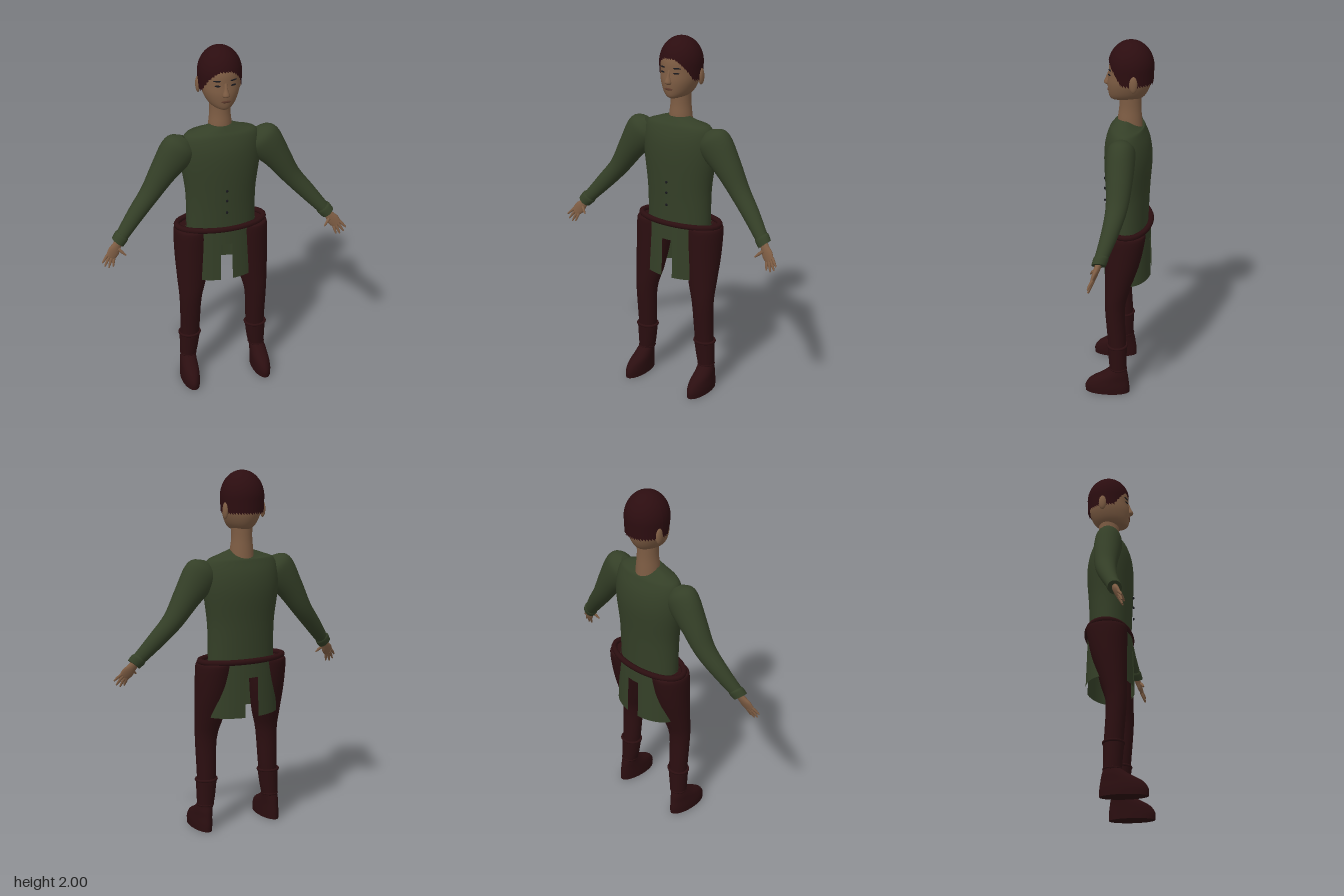
import * as THREE from 'three';

const mat = (name, color, side = THREE.FrontSide) => {
  const m = new THREE.MeshStandardMaterial({ color, side });
  m.name = name;
  return m;
};

// Smooth skin through elliptical rings [x, y, z, rAcross, rDepth]; flat keeps rings level
function loft(rows, { flat = false, seg = 24, sub = 4, warp } = {}) {
  const centres = new THREE.CatmullRomCurve3(rows.map(r => new THREE.Vector3(r[0], r[1], r[2])), false, 'catmullrom', 0.5);
  const radii = new THREE.CatmullRomCurve3(rows.map(r => new THREE.Vector3(r[3], r[4], 0)), false, 'catmullrom', 0.5);
  const n = (rows.length - 1) * sub;
  const pos = [], idx = [];
  const up = Math.sign(rows[rows.length - 1][1] - rows[0][1]);
  const ring = i => {
    const c = centres.getPoint(i / n), r = radii.getPoint(i / n), d = centres.getTangent(i / n);
    const l = Math.hypot(d.x, d.y) || 1;
    const ux = flat ? up : d.y / l, uy = flat ? 0 : -d.x / l;
    for (let j = 0; j < seg; j++) {
      const a = j / seg * Math.PI * 2, k = Math.cos(a) * r.x;
      const p = new THREE.Vector3(c.x + ux * k, c.y + uy * k, c.z + Math.sin(a) * r.y);
      if (warp) warp(p);
      pos.push(p.x, p.y, p.z);
    }
    return c;
  };
  for (let i = 0; i <= n; i++) ring(i);
  for (let i = 0; i < n; i++) for (let j = 0; j < seg; j++) {
    const a = i * seg + j, b = i * seg + (j + 1) % seg;
    idx.push(a, a + seg, b, b, a + seg, b + seg);
  }
  // end caps
  for (const end of [0, n]) {
    const base = pos.length / 3, c = ring(end);
    if (warp) warp(c);
    pos.push(c.x, c.y, c.z);
    for (let j = 0; j < seg; j++) {
      const a = base + j, b = base + (j + 1) % seg;
      end ? idx.push(base + seg, b, a) : idx.push(base + seg, a, b);
    }
  }
  const g = new THREE.BufferGeometry();
  g.setAttribute('position', new THREE.Float32BufferAttribute(pos, 3));
  g.setIndex(idx);
  g.computeVertexNormals();
  return g;
}

// Level ring from extents
const ext = (y, x0, x1, zb, zf, s = 1) => [s * (x0 + x1) / 2, y, (zb + zf) / 2, (x1 - x0) / 2, (zf - zb) / 2];
const sym = (y, r, zb, zf) => ext(y, -r, r, zb, zf);

// Closed elliptical cord, for belt and boot bands
function hoop(x, y, z, rx, rz, r) {
  const pts = [];
  for (let i = 0; i < 24; i++) {
    const a = i / 24 * Math.PI * 2;
    pts.push(new THREE.Vector3(x + rx * Math.cos(a), y, z + rz * Math.sin(a)));
  }
  return new THREE.TubeGeometry(new THREE.CatmullRomCurve3(pts, true), 48, r, 8, true);
}

// Hair cap: dome over straight sides, trimmed along a hairline
function hairGeometry() {
  const g = new THREE.SphereGeometry(1, 48, 24), p = g.attributes.position;
  for (let i = 0; i < p.count; i++) {
    const v = new THREE.Vector3().fromBufferAttribute(p, i);
    const t = Math.acos(THREE.MathUtils.clamp(v.y, -1, 1)) / Math.PI;
    const l = Math.hypot(v.x, v.z) || 1;
    const dx = v.x / l, dz = v.z / l;
    const line = 1.77 + 0.12 * THREE.MathUtils.clamp((dz * 0.122 - 0.043) / 0.075, 0, 1);
    const endArc = line > 1.86 ? Math.acos((line - 1.86) / 0.14) : Math.PI / 2 + (1.86 - line) / 0.14;
    const arc = t * endArc;
    const r = arc < Math.PI / 2 ? Math.sin(arc) : 1 - 0.05 * (arc - Math.PI / 2);
    const y = arc < Math.PI / 2 ? 1.86 + 0.14 * Math.cos(arc) : 1.86 - 0.14 * (arc - Math.PI / 2);
    p.setXYZ(i, dx * r * 0.118, y, -0.053 + dz * r * 0.122);
  }
  g.computeVertexNormals();
  return g;
}

export function createModel() {
  const green = mat('tunicGreen', 0x343f27, THREE.DoubleSide);
  const maroon = mat('leatherMaroon', 0x2b0e10);
  const hairMat = mat('hairMaroon', 0x2c0d10, THREE.DoubleSide);
  const skin = mat('skin', 0x7d5c43);
  const lip = mat('lip', 0x5c3a2c);
  const dark = mat('darkDetail', 0x17171c);

  const model = new THREE.Group();
  const add = (name, geo, m) => {
    const mesh = new THREE.Mesh(geo, m);
    mesh.name = name;
    model.add(mesh);
    return mesh;
  };
  const blob = (name, m, x, y, z, sx, sy, sz) => {
    const b = add(name, new THREE.SphereGeometry(1, 14, 10), m);
    b.position.set(x, y, z);
    b.scale.set(sx, sy, sz);
    return b;
  };

  // Tunic body, neckline dipping at the back
  add('tunicBody', loft([
    sym(0.97, 0.195, -0.15, 0.075), sym(1.1, 0.195, -0.155, 0.08), sym(1.2, 0.2, -0.16, 0.085),
    sym(1.35, 0.22, -0.17, 0.09), sym(1.45, 0.22, -0.158, 0.083), sym(1.52, 0.2, -0.13, 0.062),
    sym(1.547, 0.14, -0.12, 0.045), sym(1.572, 0.065, -0.113, 0.028),
  ], { flat: true, seg: 40, warp: p => { if (p.y > 1.53 && p.z < -0.04) p.y -= 0.5 * (-0.04 - p.z) * (p.y - 1.53) / 0.04; } }), green);
  for (const y of [1.22, 1.16, 1.09]) blob('button', dark, 0, y, 0.09, 0.007, 0.008, 0.005);

  // Skirt: short band with split panels
  const panel = (name, y0, y1, start, len) => {
    const g = new THREE.CylinderGeometry(0.93, 1 - 0.07 * (y0 - 0.665) / 0.305, y1 - y0, 24, 1, true, start, len);
    g.scale(0.215, 1, 0.132);
    g.translate(0, (y0 + y1) / 2, -0.04);
    add(name, g, green);
  };
  panel('skirtBand', 0.885, 0.975, 0, Math.PI * 2);
  for (const s of [1, -1]) {
    panel('frontPanel', 0.665, 0.97, s > 0 ? 0.163 : -0.69, 0.527);
    panel('backPanel', 0.665, 0.97, s > 0 ? Math.PI - 1.35 : Math.PI + 0.19, 1.16);
  }
  add('belt', hoop(0, 0.977, -0.045, 0.25, 0.12, 0.016), maroon);

  // Neck and head
  add('neck', loft([sym(1.5, 0.068, -0.118, 0.015), sym(1.57, 0.063, -0.113, 0.018),
    sym(1.64, 0.056, -0.108, 0.01), sym(1.73, 0.058, -0.108, 0.01)], { flat: true }), skin);
  add('head', loft([
    sym(1.678, 0.025, -0.06, 0.045), sym(1.69, 0.055, -0.11, 0.06), sym(1.72, 0.08, -0.138, 0.068),
    sym(1.77, 0.1, -0.158, 0.072), sym(1.82, 0.106, -0.16, 0.066), sym(1.88, 0.104, -0.158, 0.06),
    sym(1.94, 0.084, -0.13, 0.03), sym(1.975, 0.04, -0.09, -0.01),
  ], { flat: true, seg: 36 }), skin);
  add('hair', hairGeometry(), hairMat);
  add('nose', loft([[0, 1.758, 0.068, 0.014, 0.01], [0, 1.77, 0.072, 0.02, 0.02],
    [0, 1.8, 0.066, 0.011, 0.014], [0, 1.835, 0.06, 0.008, 0.006]], { flat: true, seg: 12 }), skin);
  blob('mouth', lip, 0, 1.733, 0.069, 0.026, 0.007, 0.004);
  for (const s of [1, -1]) {
    blob('ear', skin, s * 0.113, 1.79, -0.075, 0.013, 0.045, 0.022);
    const eye = blob('eye', dark, s * 0.043, 1.82, 0.058, 0.017, 0.0045, 0.004);
    const brow = blob('eyebrow', dark, s * 0.045, 1.846, 0.055, 0.022, 0.004, 0.004);
    eye.rotation.y = brow.rotation.y = s * 0.4;
  }

  for (const s of [1, -1]) {
    const arm = rows => rows.map(([x, ...r]) => [s * x, ...r]);

    // Sleeve and cuff
    add('sleeve', loft(arm([
      [0.19, 1.505, -0.025, 0.035, 0.03], [0.213, 1.477, -0.025, 0.088, 0.068], [0.25, 1.43, -0.025, 0.1, 0.076],
      [0.32, 1.335, -0.025, 0.077, 0.07], [0.4, 1.215, -0.02, 0.056, 0.058],
      [0.49, 1.11, 0.005, 0.047, 0.046], [0.59, 0.995, 0.045, 0.034, 0.034],
    ])), green);
    add('cuff', loft(arm([[0.572, 1.018, 0.038, 0.036, 0.036], [0.58, 1.008, 0.041, 0.042, 0.039],
      [0.602, 0.982, 0.05, 0.039, 0.037]])), green);

    // Hand
    add('palm', loft(arm([[0.585, 1.0, 0.045, 0.022, 0.018], [0.61, 0.965, 0.058, 0.026, 0.017],
      [0.63, 0.938, 0.068, 0.034, 0.014], [0.65, 0.912, 0.078, 0.029, 0.01]]), { seg: 16 }), skin);
    const fingers = [
      [0.665, 0.927, 0.7, 0.892], [0.655, 0.918, 0.688, 0.868],
      [0.645, 0.908, 0.666, 0.856], [0.632, 0.905, 0.642, 0.86], [0.605, 0.952, 0.57, 0.918],
    ];
    fingers.forEach(([x0, y0, x1, y1], i) => add(i < 4 ? 'finger' : 'thumb', loft(arm([
      [x0, y0, 0.075, 0.009, 0.009], [(x0 + x1) / 2, (y0 + y1) / 2, 0.086, 0.008, 0.008],
      [x1, y1, 0.095, 0.004, 0.004]]), { seg: 8, sub: 2 }), skin));

    // Trouser leg
    add('leg', loft([
      ext(0.968, 0.085, 0.25, -0.14, 0.06, s), ext(0.945, 0.07, 0.267, -0.15, 0.07, s),
      ext(0.8, 0.075, 0.268, -0.122, 0.07, s), ext(0.65, 0.097, 0.262, -0.075, 0.07, s),
      ext(0.52, 0.13, 0.255, -0.042, 0.069, s), ext(0.3, 0.143, 0.25, -0.05, 0.052, s),
      ext(0.13, 0.165, 0.25, -0.05, 0.04, s),
    ], { flat: true }), maroon);

    // Boot shaft, bands and shoe
    add('bootShaft', loft([ext(0.29, 0.138, 0.257, -0.054, 0.056, s), ext(0.2, 0.15, 0.255, -0.053, 0.048, s),
      ext(0.14, 0.162, 0.253, -0.053, 0.043, s)], { flat: true }), maroon);
    add('bootTopBand', hoop(s * 0.198, 0.292, 0, 0.058, 0.052, 0.008), maroon);
    add('ankleBand', hoop(s * 0.207, 0.148, -0.005, 0.043, 0.045, 0.006), maroon);
    add('shoe', loft([
      ext(0, 0.165, 0.265, -0.07, 0.18, s), ext(0.04, 0.164, 0.266, -0.07, 0.18, s),
      ext(0.08, 0.164, 0.262, -0.065, 0.152, s), ext(0.115, 0.165, 0.258, -0.06, 0.09, s),
      ext(0.15, 0.165, 0.25, -0.05, 0.04, s),
    ], { flat: true, seg: 28 }), maroon);
  }
  return model;
}
